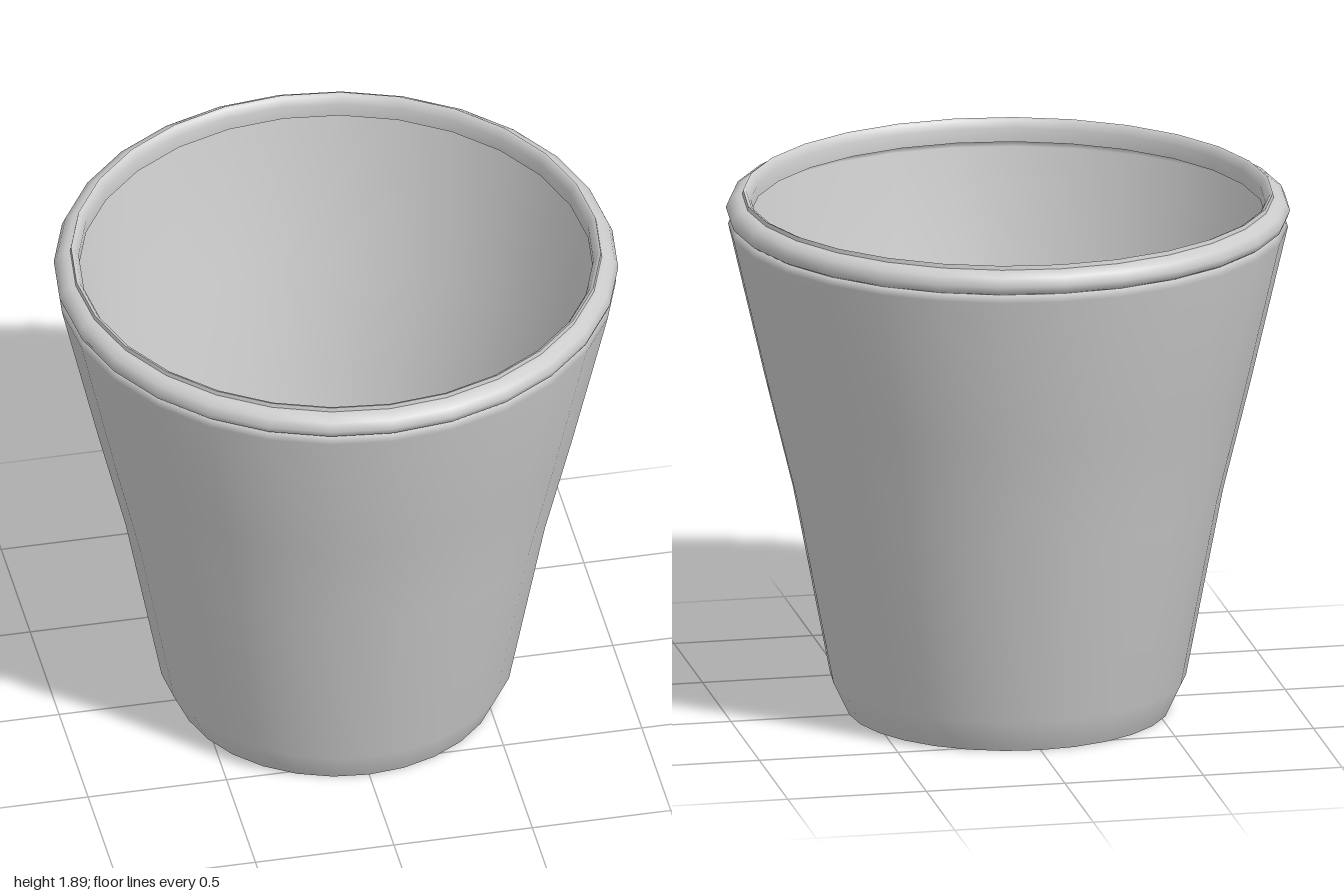
import * as THREE from 'three';

const SIDES = 28;

export function createModel() {
  const group = new THREE.Group();
  const grey = new THREE.MeshStandardMaterial({ color: 0xcccccc, side: THREE.DoubleSide });
  grey.name = 'light grey';

  const add = (name, geometry) => {
    const mesh = new THREE.Mesh(geometry, grey);
    mesh.name = name;
    group.add(mesh);
    return mesh;
  };
  const lathe = (profile) =>
    new THREE.LatheGeometry(profile.map(([r, y]) => new THREE.Vector2(r, y)), SIDES);

  // Thin flared wall, chamfered at the foot and curled in under the rim
  add('wall', lathe([
    [0.573, 0], [0.63, 0.12], [0.76, 0.8], [0.858, 1.2], [0.99, 1.77], [0.972, 1.795], [0.91, 1.81],
  ]));

  // Flat base, seen from inside and below
  add('base', new THREE.CircleGeometry(0.573, SIDES).rotateX(-Math.PI / 2));

  // Rolled rim
  add('rim', lathe([
    [0.91, 1.81], [0.972, 1.795], [0.988, 1.805], [0.998, 1.83], [0.985, 1.86], [0.96, 1.875], [0.94, 1.878],
  ]));

  // Raised inner lip, sloping down into the cup
  add('lip', lathe([[0.94, 1.878], [0.937, 1.893]]));
  add('lipTop', lathe([[0.937, 1.893], [0.925, 1.888], [0.91, 1.86], [0.91, 1.81]]));

  return group;
}
